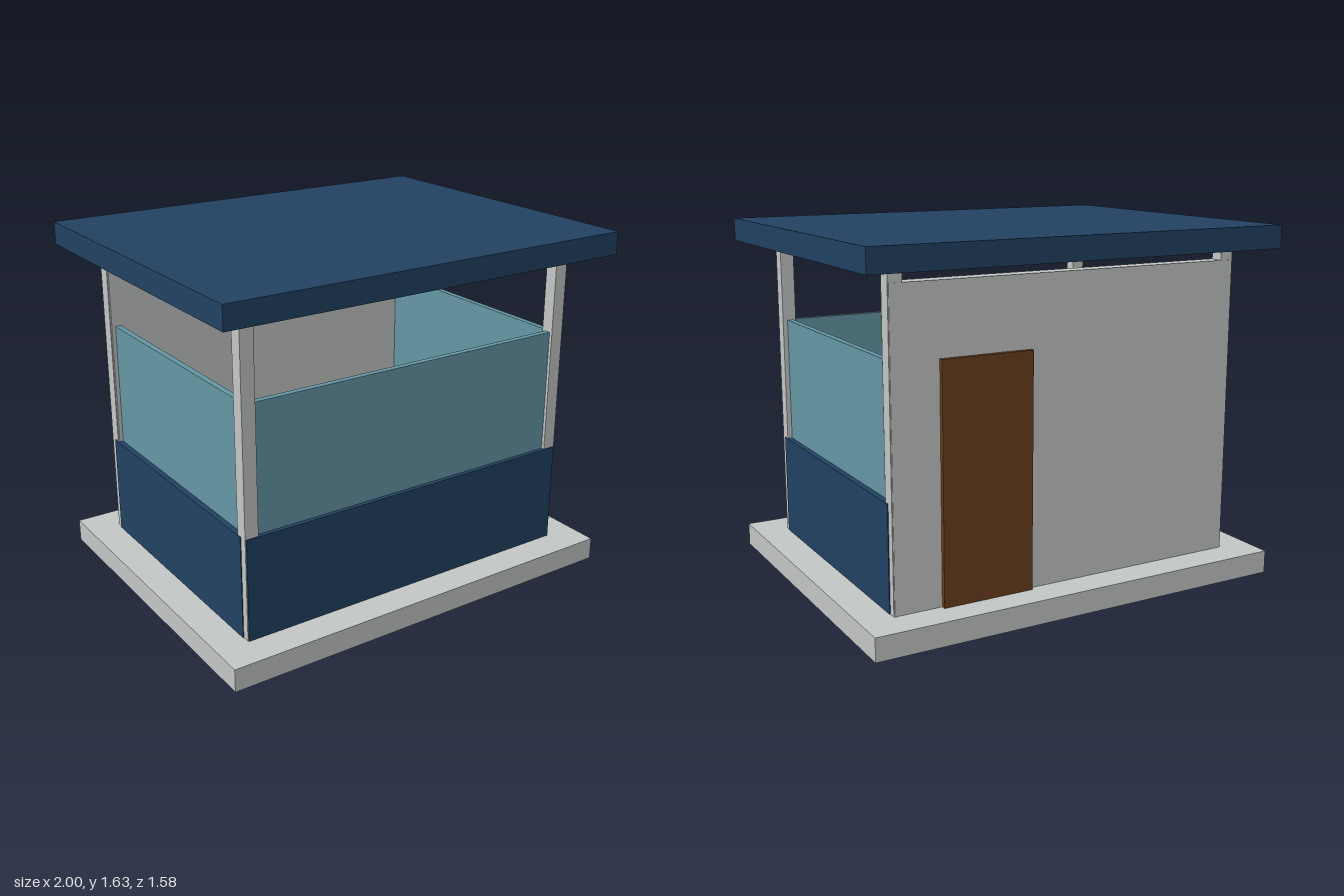
import * as THREE from 'three';

export function createModel() {
  const kiosk = new THREE.Group();
  kiosk.name = 'kiosk';

  const material = (name, color) => {
    const m = new THREE.MeshStandardMaterial({ color });
    m.name = name;
    return m;
  };
  const navy = material('navy', 0x224263);
  const concrete = material('light grey', 0xc5c9c7);
  const glass = material('blue glass', 0x6698a6);
  const brown = material('brown', 0x6b3f1d);

  // Box given by its extents along each axis
  function box(name, mat, [x0, x1], [y0, y1], [z0, z1]) {
    const mesh = new THREE.Mesh(new THREE.BoxGeometry(x1 - x0, y1 - y0, z1 - z0), mat);
    mesh.position.set((x0 + x1) / 2, (y0 + y1) / 2, (z0 + z1) / 2);
    mesh.name = name;
    kiosk.add(mesh);
  }
  // Extents mirrored to the side given by the sign
  const span = (sign, a, b) => (sign > 0 ? [a, b] : [-b, -a]);

  const floorY = 0.106, sillY = 0.58, glassY = 1.16, roofY = 1.53;

  // Floor slab and flat roof
  box('floorSlab', concrete, [-1, 1], [0, floorY], [-0.79, 0.79]);
  box('roof', navy, [-1, 1], [roofY, 1.635], [-0.79, 0.79]);

  // Corner posts, side panels and side windows
  for (const s of [1, -1]) {
    const side = s > 0 ? 'left' : 'right';
    box(side + 'FrontPost', concrete, span(s, 0.787, 0.85), [floorY, roofY], [0.578, 0.639]);
    box(side + 'BackPost', concrete, span(s, 0.787, 0.85), [floorY, roofY], [-0.639, -0.578]);
    box(side + 'Panel', navy, span(s, 0.779, 0.854), [floorY, sillY], [-0.605, 0.605]);
    box(side + 'Window', glass, span(s, 0.8, 0.828), [sillY, glassY], [-0.575, 0.585]);
  }

  // Front counter panel and window
  box('frontPanel', navy, [-0.846, 0.846], [floorY, sillY], [0.57, 0.644]);
  box('frontWindow', glass, [-0.79, 0.79], [sillY, glassY], [0.596, 0.624]);

  // Back wall, stopping short of the roof, with its door
  box('backWall', concrete, [-0.846, 0.846], [floorY, 1.475], [-0.642, -0.568]);
  box('door', brown, [0.205, 0.63], [floorY, glassY], [-0.663, -0.64]);

  return kiosk;
}
